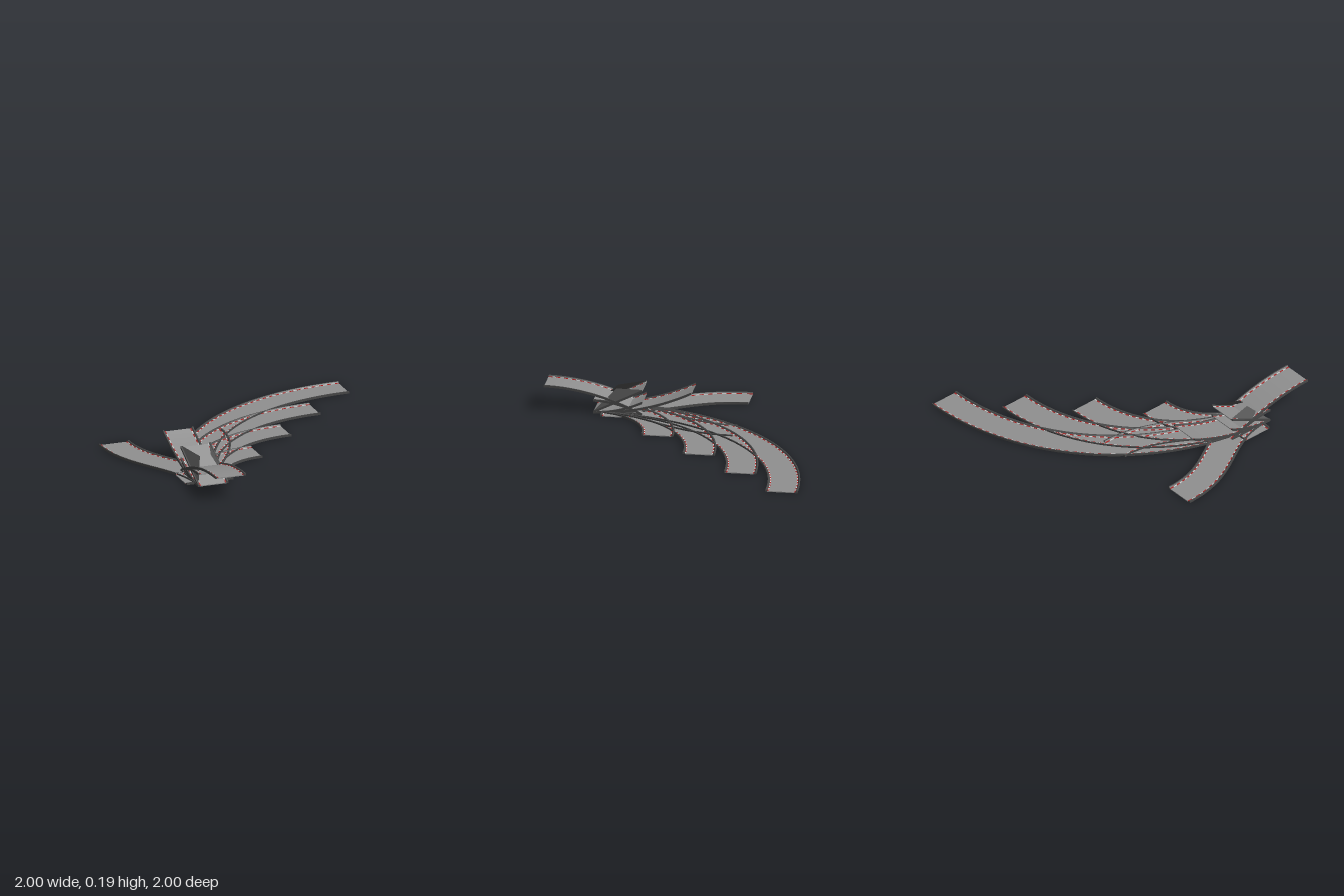
import * as THREE from 'three';
import { mergeGeometries, toCreasedNormals } from 'three/addons/utils/BufferGeometryUtils.js';

const T = 0.3433;                    // length of one track tile
const X0 = -0.545, Z0 = 0.657;       // shared start of the track pieces
const HALF = 0.112;                  // half width of the road
const RISE = 0.17;                   // height of a full ramp

const deckMat = new THREE.MeshStandardMaterial({ color: 0x909090 });
const kerbMat = new THREE.MeshStandardMaterial({ color: 0x484848 });
const redMat = new THREE.MeshStandardMaterial({ color: 0xb02020 });
const whiteMat = new THREE.MeshStandardMaterial({ color: 0xdddddd });
const finMat = new THREE.MeshStandardMaterial({ color: 0x505050, side: THREE.DoubleSide });

// Cross-sections as [sideways, up], counter-clockwise
const DECK = [[-0.1, 0], [0.1, 0], [0.1, 0.006], [-0.1, 0.006]];
const KERB = [[0.096, 0], [HALF, 0], [HALF, 0.016], [0.104, 0.016], [0.096, 0.007]];
const DASH = [[0.09, 0.005], [0.097, 0.005], [0.097, 0.009], [0.09, 0.008]];
const mirror = (profile) => profile.map(([s, y]) => [-s, y]).reverse();

// Sweep a convex profile along path(u) = [x, y, z], keeping it upright
function sweep(profile, path, u0, u1, steps) {
  const pos = [], e = 0.0005;
  const rings = [];
  for (let i = 0; i <= steps; i++) {
    const u = u0 + (u1 - u0) * i / steps;
    const p = path(u), a = path(u - e), b = path(u + e);
    const tx = b[0] - a[0], tz = b[2] - a[2], l = Math.hypot(tx, tz);
    rings.push(profile.map(([s, y]) => [p[0] - s * tz / l, p[1] + y, p[2] + s * tx / l]));
  }
  const n = profile.length;
  for (let i = 0; i < steps; i++) {
    for (let j = 0; j < n; j++) {
      const k = (j + 1) % n, A = rings[i], B = rings[i + 1];
      pos.push(...A[j], ...B[j], ...B[k], ...A[j], ...B[k], ...A[k]);
    }
  }
  const first = rings[0], last = rings[steps];
  for (let j = 1; j < n - 1; j++) {
    pos.push(...first[0], ...first[j], ...first[j + 1]);
    pos.push(...last[0], ...last[j + 1], ...last[j]);
  }
  const geo = new THREE.BufferGeometry();
  geo.setAttribute('position', new THREE.Float32BufferAttribute(pos, 3));
  return toCreasedNormals(geo, 0.4);
}

function addMesh(group, name, geo, mat) {
  const mesh = new THREE.Mesh(geo, mat);
  mesh.name = name;
  group.add(mesh);
}

// One piece of track: deck, two kerbs and alternating edge dashes
function makeTrack(name, path, steps) {
  const group = new THREE.Group();
  group.name = name;
  addMesh(group, 'deck', sweep(DECK, path, 0, 1, steps), deckMat);
  addMesh(group, 'kerbs', mergeGeometries(
    [KERB, mirror(KERB)].map((p) => sweep(p, path, 0, 1, steps))), kerbMat);

  let length = 0;
  for (let i = 0; i < 20; i++) {
    const a = path(i / 20), b = path((i + 1) / 20);
    length += Math.hypot(b[0] - a[0], b[1] - a[1], b[2] - a[2]);
  }
  const count = Math.max(2, Math.round(length / 0.028));
  const dashes = [[], []];
  for (let i = 0; i < count; i++) {
    for (const p of [DASH, mirror(DASH)]) {
      dashes[i % 2].push(sweep(p, path, i / count, (i + 1) / count, 2));
    }
  }
  addMesh(group, 'redDashes', mergeGeometries(dashes[0]), redMat);
  addMesh(group, 'whiteDashes', mergeGeometries(dashes[1]), whiteMat);
  return group;
}

// Path rules
const straight = (z0, tiles, height) => (u) => [X0, height(u), z0 - u * tiles * T];
const quarterTurn = (r) => (u) => {
  const a = u * Math.PI / 2;
  return [X0 + r * (1 - Math.cos(a)), 0, Z0 - r * Math.sin(a)];
};
const sBend = (side) => (u) => {
  const v = 1 - u, h = 0.45;
  const across = 3 * v * u * u + u * u * u;
  const along = 3 * v * v * u * h + 3 * v * u * u * (1 - h) + u * u * u;
  return [X0 + side * T * across, 0, Z0 - 3 * T * along];
};

// Leaning triangular fin on each side of the jump
function makeFins() {
  const group = new THREE.Group();
  group.name = 'jumpFins';
  for (const side of [-1, 1]) {
    const geo = new THREE.BufferGeometry();
    geo.setAttribute('position', new THREE.Float32BufferAttribute([
      X0 + side * 0.108, 0.012, Z0,
      X0 + side * 0.04, 0.165, 0.505,
      X0 + side * 0.1, RISE + 0.015, Z0 - T,
    ], 3));
    geo.computeVertexNormals();
    addMesh(group, side < 0 ? 'rightFin' : 'leftFin', geo, finMat);
  }
  return group;
}

export function createModel() {
  const model = new THREE.Group();
  model.name = 'trackSet';

  // Flat pieces
  model.add(makeTrack('straight', straight(Z0, 1, () => 0), 1));
  for (let i = 0; i < 4; i++) {
    model.add(makeTrack('curve' + (i + 1), quarterTurn(T * (1.5 + i)), 24 + i * 8));
  }
  model.add(makeTrack('rightBend', sBend(-1), 32));
  model.add(makeTrack('leftBend', sBend(1), 32));

  // Side arms of the crossing
  for (const side of [-1, 1]) {
    const arm = (u) => [X0 + side * (0.1 + u * (T / 2 - 0.1)), 0, Z0 - T / 2];
    model.add(makeTrack(side < 0 ? 'rightCrossingArm' : 'leftCrossingArm', arm, 1));
  }

  // Ramps: curving upward, and rounding over the top
  model.add(makeTrack('longRampFoot', straight(Z0, 2, (u) => RISE * u * u), 20));
  model.add(makeTrack('longRampCrest', straight(Z0 + T, 2, (u) => RISE * (1 - u * u)), 20));
  model.add(makeTrack('shortRampFoot', straight(Z0, 1, (u) => RISE / 2 * u * u), 12));
  model.add(makeTrack('shortRampCrest', straight(Z0, 1, (u) => RISE / 2 * (1 - u * u)), 12));

  // Steep jump with fins
  model.add(makeTrack('jumpRamp', straight(Z0, 1, (u) => RISE * u), 1));
  model.add(makeFins());
  return model;
}
